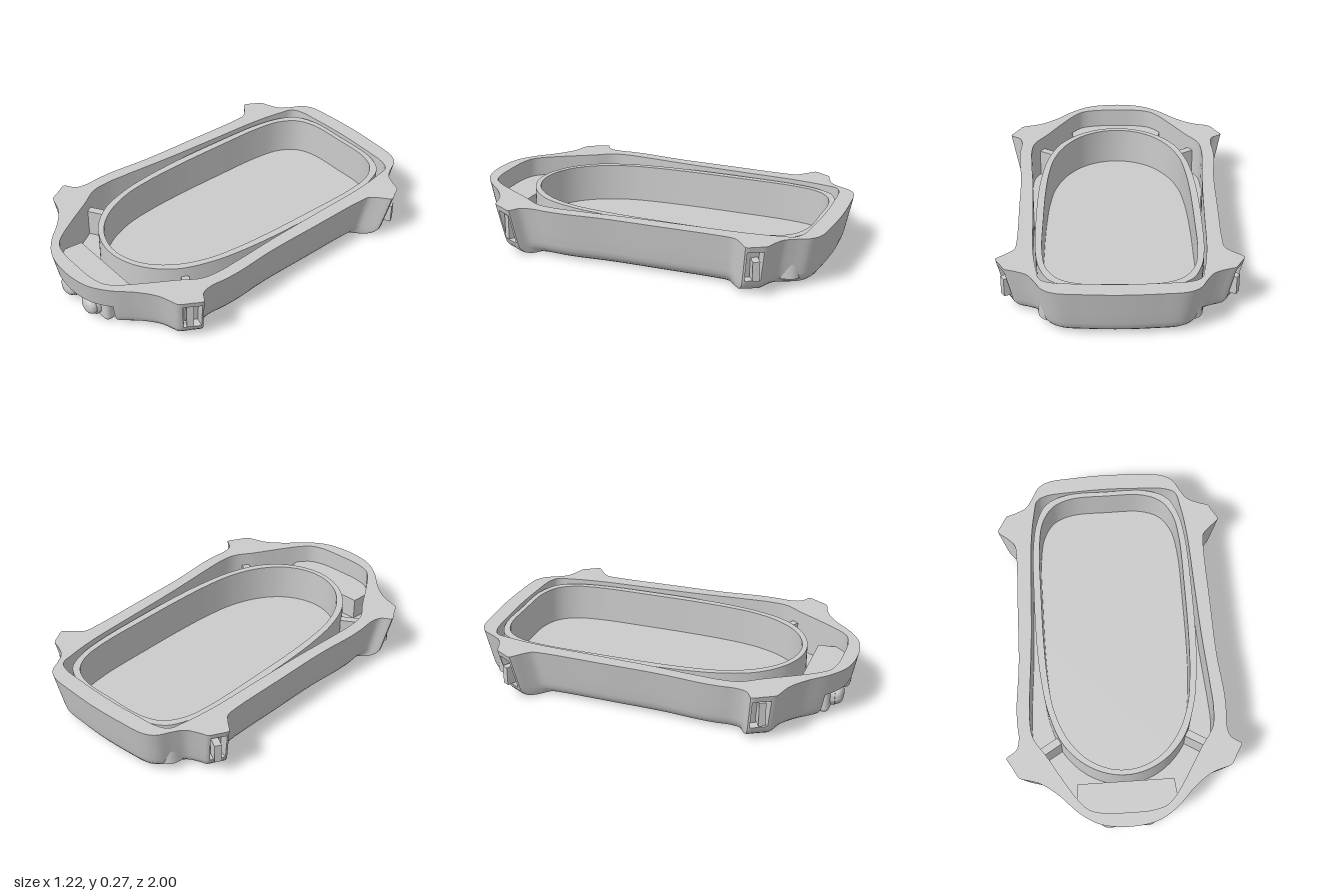
import * as THREE from 'three';
import { toCreasedNormals, mergeVertices } from 'three/addons/utils/BufferGeometryUtils.js';
import { RoundedBoxGeometry } from 'three/addons/geometries/RoundedBoxGeometry.js';

const material = new THREE.MeshStandardMaterial({ color: 0xcccccc, side: THREE.DoubleSide });

// Closed smooth outline from the +x half, listed back to front as [x, z]
function outline(half, count) {
  const left = half.slice(1, -1).reverse().map(([x, z]) => [-x, z]);
  const pts = [...half, ...left].map(([x, z]) => new THREE.Vector3(x, 0, z));
  const curve = new THREE.CatmullRomCurve3(pts, true, 'centripetal');
  curve.arcLengthDivisions = 1200;
  return curve.getSpacedPoints(count).slice(0, count);
}

const atHeight = (loop, y) => loop.map((p) => new THREE.Vector3(p.x, y, p.z));

// Skin between successive loops
function loft(loops, crease = 0.6) {
  const n = loops[0].length;
  const pos = [];
  const tri = new THREE.Triangle();
  const add = (a, b, c) => {
    if (tri.set(a, b, c).getArea() > 1e-9) pos.push(...a, ...b, ...c);
  };
  for (let r = 0; r < loops.length - 1; r++) {
    for (let i = 0; i < n; i++) {
      const j = (i + 1) % n;
      const [a, b, c, d] = [loops[r][i], loops[r][j], loops[r + 1][j], loops[r + 1][i]];
      add(a, b, c);
      add(a, c, d);
    }
  }
  const g = new THREE.BufferGeometry();
  g.setAttribute('position', new THREE.Float32BufferAttribute(pos, 3));
  return toCreasedNormals(mergeVertices(g), crease);
}

// Flat face filling a loop, optionally with a hole
function cap(loop, y, up, hole) {
  const s = up ? -1 : 1;
  const flat = (l) => l.map((p) => new THREE.Vector2(p.x, s * p.z));
  const shape = new THREE.Shape(flat(loop));
  if (hole) shape.holes.push(new THREE.Path(flat(hole)));
  return new THREE.ShapeGeometry(shape).rotateX(s * Math.PI / 2).translate(0, y, 0);
}

const rect = (hx, z0, z1, y) =>
  [[-hx, z0], [hx, z0], [hx, z1], [-hx, z1]].map(([x, z]) => new THREE.Vector3(x, y, z));

// Outer faces of the corner lugs, each from corner a to corner b
const lugs = [
  { a: [0.61, 0.6], b: [0.55, 0.705], out: 0.0 },
  { a: [0.61, -0.69], b: [0.562, -0.775], out: 0.022 },
].map(({ a, b, out }) => {
  const A = new THREE.Vector2(...a), B = new THREE.Vector2(...b);
  const dir = B.clone().sub(A);
  const len = dir.length();
  dir.normalize();
  const normal = new THREE.Vector2(dir.y, -dir.x);
  if (normal.x < 0) normal.negate();
  return { A, B, dir, len, normal, out };
});

// Inward shift for the pocket in a lug face
function pocketShift(p) {
  const q = new THREE.Vector2(Math.abs(p.x), p.z);
  for (const l of lugs) {
    const v = q.clone().sub(l.A);
    const t = v.dot(l.dir) / l.len;
    if (t > 0.17 && t < 0.85 && Math.abs(v.dot(l.normal)) < 0.02) {
      return [-Math.sign(p.x) * l.normal.x * 0.05, -l.normal.y * 0.05];
    }
  }
  return [0, 0];
}

export function createModel() {
  const model = new THREE.Group();
  const add = (name, geometry, parent = model) => {
    const m = new THREE.Mesh(geometry, material);
    m.name = name;
    parent.add(m);
    return m;
  };

  // Outer wall: tapered, with lug pockets and a recess under the front
  const outer = outline([
    [0, -1], [0.18, -0.993], [0.32, -0.978], [0.375, -0.945], [0.415, -0.875], [0.45, -0.825],
    [0.51, -0.795], [0.558, -0.779], [0.562, -0.775], [0.586, -0.7325], [0.608, -0.694], [0.608, -0.686],
    [0.55, -0.635], [0.52, -0.6], [0.513, -0.54], [0.518, -0.2], [0.525, 0.1], [0.545, 0.33],
    [0.545, 0.42], [0.54, 0.5], [0.555, 0.56], [0.607, 0.597], [0.608, 0.603], [0.58, 0.6525],
    [0.55, 0.705], [0.543, 0.711], [0.44, 0.745], [0.35, 0.81], [0.25, 0.91], [0.15, 0.972], [0, 0.995],
  ], 480);
  const row = (y, inset, pocket, recess) => outer.map((p) => {
    const [dx, dz] = pocket ? pocketShift(p) : [0, 0];
    const x = p.x * (1 - inset / 0.58) + dx;
    let z = p.z * (1 - inset) + dz;
    if (recess && p.z > 0 && Math.abs(p.x) < 0.25) z = Math.min(z, 0.76);
    return new THREE.Vector3(x, y, z);
  });
  const rows = [
    [0.27, 0, 0, 0], [0.24, 0.006, 0, 0], [0.24, 0.006, 1, 0], [0.145, 0.025, 1, 0],
    [0.145, 0.025, 1, 1], [0.075, 0.039, 1, 1], [0.075, 0.039, 0, 1], [0.05, 0.046, 0, 1],
    [0.032, 0.058, 0, 1], [0.017, 0.074, 0, 1], [0.006, 0.095, 0, 1], [0, 0.12, 0, 1],
  ].map((r) => row(...r));
  add('outerWall', loft(rows));

  // Inner wall of the shell, stepping in over the front recess
  const inner = outline([
    [0, -0.912], [0.2, -0.905], [0.33, -0.893], [0.385, -0.865], [0.405, -0.79], [0.428, -0.62],
    [0.442, -0.3], [0.455, 0], [0.475, 0.28], [0.48, 0.4], [0.467, 0.5], [0.4, 0.605],
    [0.31, 0.755], [0.25, 0.845], [0.2, 0.895], [0.12, 0.918], [0, 0.922],
  ], 300);
  const floorY = 0.045;
  const step = (y) => inner.map((p) => new THREE.Vector3(
    p.x, y, p.z > 0 && Math.abs(p.x) < 0.26 ? Math.min(p.z, 0.735) : p.z));
  const cavityFloor = step(floorY);
  add('innerWall', loft([cavityFloor, step(0.165), atHeight(inner, 0.165), atHeight(inner, 0.27)]));
  add('topRim', cap(rows[0], 0.27, true, inner));
  add('trayFloor', cap(cavityFloor, floorY, true));

  // Underside with a shallow rectangular panel recess
  const panelEdge = rect(0.27, -0.54, 0.38, 0);
  const panelTop = rect(0.25, -0.52, 0.36, 0.035);
  add('underside', cap(rows[rows.length - 1], 0, false, panelEdge));
  add('panelRecessSides', loft([panelEdge, panelTop], 0.3));
  add('panelRecess', cap(panelTop, 0.035, false));

  // Oval basin wall inside the tray
  const basinIn = outline([
    [0, -0.88], [0.2, -0.873], [0.3, -0.83], [0.36, -0.74], [0.385, -0.6], [0.39, -0.3], [0.387, 0],
    [0.375, 0.2], [0.35, 0.36], [0.29, 0.51], [0.2, 0.62], [0.1, 0.677], [0, 0.695],
  ], 160);
  const basinOut = outline([
    [0, -0.906], [0.23, -0.897], [0.34, -0.845], [0.393, -0.74], [0.418, -0.6], [0.428, -0.3], [0.425, 0],
    [0.41, 0.2], [0.383, 0.36], [0.32, 0.53], [0.22, 0.643], [0.11, 0.703], [0, 0.722],
  ], 160);
  add('basinWall', loft([
    atHeight(basinIn, floorY), atHeight(basinIn, 0.25), atHeight(basinOut, 0.25), atHeight(basinOut, floorY),
  ]));

  // Front socket block with two domed plugs
  add('socketBlock', new RoundedBoxGeometry(0.39, 0.135, 0.16, 4, 0.025)).position.set(0, 0.077, 0.815);
  const plugProfile = [
    [0.062, 0], [0.062, 0.025], [0.058, 0.032], [0.053, 0.032], [0.053, 0.042],
    [0.047, 0.054], [0.034, 0.063], [0.017, 0.067], [0, 0.068],
  ].map(([r, h]) => new THREE.Vector2(r, h));
  const plug = toCreasedNormals(new THREE.LatheGeometry(plugProfile, 40).rotateX(Math.PI / 2), 0.6);

  for (const side of [-1, 1]) {
    add('plug', plug).position.set(side * 0.092, 0.082, 0.885);

    // Ribs bracing the basin against the shell
    const rib = add('braceRib', new THREE.BoxGeometry(0.12, 0.15, 0.04));
    rib.position.set(side * 0.385, floorY + 0.075, 0.535);
    rib.rotation.y = -side * 0.55;

    // Latch bars seated in the lug pockets
    for (const l of lugs) {
      const mid = l.A.clone().lerp(l.B, 0.5).addScaledVector(l.normal, l.out - 0.035);
      const bar = add('latchBar', new THREE.BoxGeometry(0.07, l.out ? 0.1 : 0.13, 0.036));
      bar.position.set(side * (mid.x - 0.028), l.out ? 0.14 : 0.155, mid.y * 0.985);
      bar.rotation.y = -side * Math.atan2(l.normal.y, l.normal.x);
    }
  }
  return model;
}
